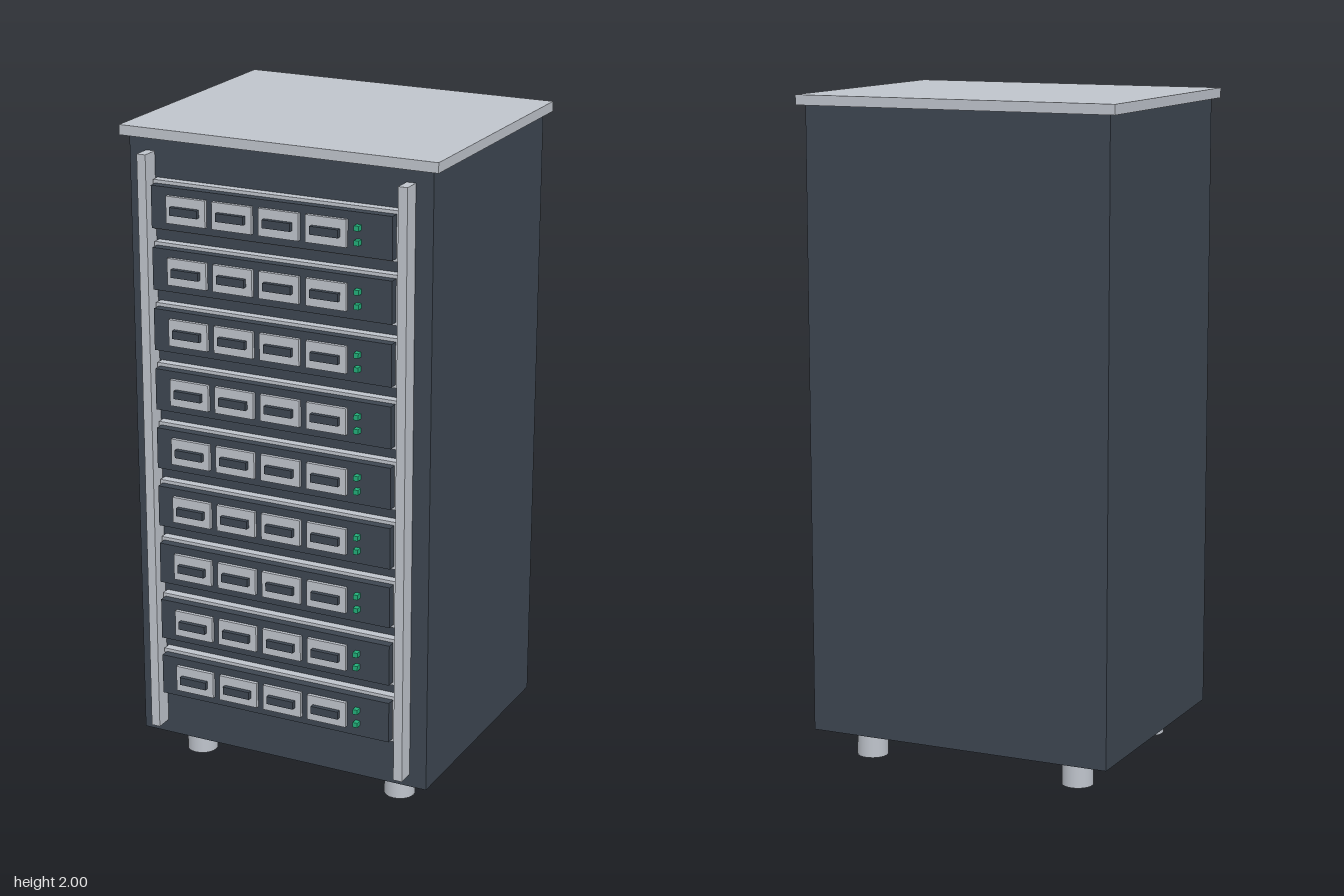
import * as THREE from 'three';

const DARK = new THREE.MeshStandardMaterial({ color: 0x3d4651 });
const LIGHT = new THREE.MeshStandardMaterial({ color: 0xbfc4cc });
const GREEN = new THREE.MeshStandardMaterial({ color: 0x22b07a });

// Box given by its centre in x and y, its size, and its back and front in z
function addBox(parent, name, material, x, y, w, h, back, front) {
  const mesh = new THREE.Mesh(new THREE.BoxGeometry(w, h, front - back), material);
  mesh.position.set(x, y, (back + front) / 2);
  mesh.name = name;
  parent.add(mesh);
  return mesh;
}

// One rack unit: rim, face panel, four drive trays with handles, two lights
function createUnit() {
  const unit = new THREE.Group();
  unit.name = 'rackUnit';
  addBox(unit, 'unitRim', LIGHT, 0, 0, 0.776, 0.146, 0.36, 0.389);
  addBox(unit, 'unitPanel', DARK, 0, 0, 0.76, 0.126, 0.388, 0.416);
  for (let i = 0; i < 4; i++) {
    const x = -0.263 + i * 0.148;
    addBox(unit, 'driveTray', LIGHT, x, 0, 0.126, 0.08, 0.415, 0.427);
    addBox(unit, 'driveHandle', DARK, x, 0, 0.088, 0.024, 0.426, 0.441);
  }
  for (const y of [-0.021, 0.021]) {
    addBox(unit, 'statusLight', GREEN, 0.279, y, 0.015, 0.015, 0.415, 0.435);
  }
  return unit;
}

export function createModel() {
  const model = new THREE.Group();
  model.name = 'serverCabinet';

  // Cabinet and lid
  addBox(model, 'cabinet', DARK, 0, 1.03, 0.956, 1.88, -0.422, 0.362);
  addBox(model, 'lid', LIGHT, 0, 1.985, 1, 0.03, -0.442, 0.382);

  // Front rails
  for (const side of [-1, 1]) {
    addBox(model, 'frontRail', LIGHT, side * 0.41, 1.03, 0.028, 1.8, 0.36, 0.416);
  }

  // Stack of rack units
  for (let i = 0; i < 9; i++) {
    const unit = createUnit();
    unit.position.y = 0.313 + i * 0.1835;
    model.add(unit);
  }

  // Feet
  const footGeometry = new THREE.CylinderGeometry(0.047, 0.047, 0.092, 24);
  for (const x of [-0.34, 0.34]) {
    for (const z of [-0.308, 0.248]) {
      const foot = new THREE.Mesh(footGeometry, LIGHT);
      foot.name = 'foot';
      foot.position.set(x, 0.046, z);
      model.add(foot);
    }
  }
  return model;
}
